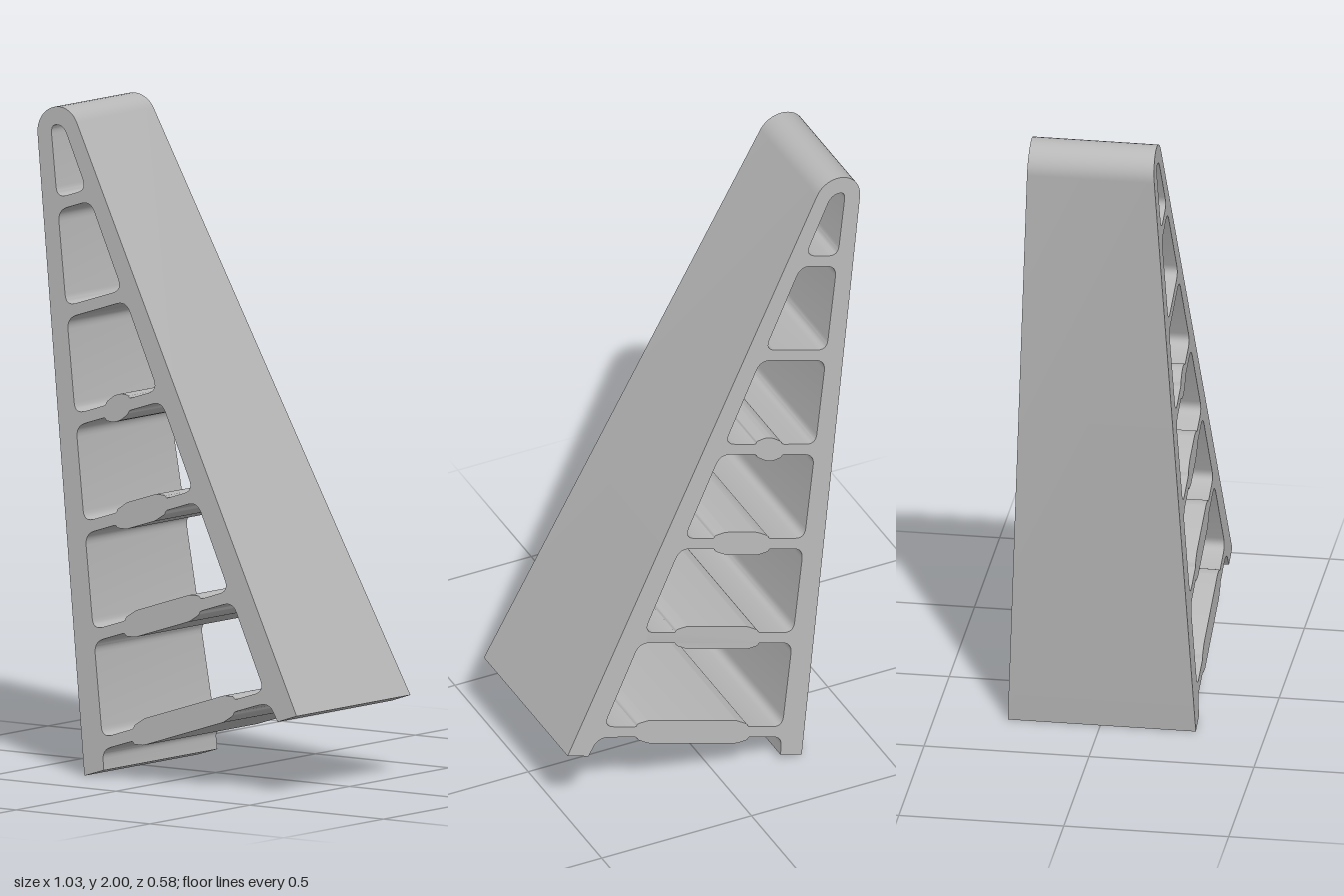
import * as THREE from 'three';
import { toCreasedNormals } from 'three/addons/utils/BufferGeometryUtils.js';

const SLOPE = 0.318; // tilt of the cross bars
const THICK = 0.037; // vertical thickness of a bar
const BARS = 6;
// x range of the thickened pad on each of the lower bars
const PADS = [[-0.098, 0.278], [-0.14, 0.14], [-0.183, 0.002], [-0.235, -0.146]];

// height offset of the top edge line of bar k: y = c + SLOPE * x
const barLine = (k) => 0.122 + 0.3206 * k + SLOPE * (0.204 + 0.0465 * k);

// where a bar edge meets the inner face of the left or right wall
const hit = (c, a, b, top) => {
  const x = (a + b * (top - c)) / (1 + SLOPE * b);
  return [x, c + SLOPE * x];
};
const hitRearWall = (c) => hit(c, -0.463, 0.14, 1.91);
const hitSlopeWall = (c) => hit(c, -0.405, 0.4938, 1.915);

// pad outline on one bar edge, left to right; side is 1 above, -1 below
function padEdge(k, side) {
  if (!PADS[k]) return [];
  const [x0, x1] = PADS[k];
  const c = barLine(k) - (side < 0 ? THICK : 0);
  const ch = Math.min(0.04, (x1 - x0) * 0.36);
  return [[x0, 0], [x0 + 0.004, 0.01], [x0 + ch, 0.022], [x1 - ch, 0.022], [x1 - 0.004, 0.01], [x1, 0]]
    .map(([x, d]) => [x, c + SLOPE * x + side * d, 0.006]);
}

// closed path through [x, y, cornerRadius] points
function roundedPath(path, pts) {
  pts.forEach((p, i) => {
    const prev = pts[(i + pts.length - 1) % pts.length];
    const next = pts[(i + 1) % pts.length];
    const v = new THREE.Vector2(p[0], p[1]);
    const toward = (q) => {
      const d = new THREE.Vector2(q[0], q[1]).sub(v);
      return v.clone().add(d.setLength(Math.min(p[2] || 0, d.length() * 0.45)));
    };
    const a = toward(prev), b = toward(next);
    if (i === 0) path.moveTo(a.x, a.y);
    else path.lineTo(a.x, a.y);
    if (p[2]) path.quadraticCurveTo(v.x, v.y, b.x, b.y);
  });
  path.closePath();
  return path;
}

function frameShape() {
  // rounded tip
  const tip = [];
  for (let i = 0; i <= 16; i++) {
    const t = THREE.MathUtils.lerp(0.472, Math.PI + 0.123, i / 16);
    tip.push([-0.44 + 0.077 * Math.cos(t), 1.923 + 0.077 * Math.sin(t)]);
  }
  // outline with two feet and the underside of the lowest bar
  const shape = roundedPath(new THREE.Shape(), [
    [0.511, 0.245], ...tip,
    [-0.275, 0], [-0.204, 0.022], [-0.209, 0.084, 0.03],
    ...padEdge(0, -1),
    [0.405, 0.278, 0.04], [0.441, 0.222],
  ]);
  // openings between the bars
  for (let k = 0; k < BARS; k++) {
    const pts = [[...hitRearWall(barLine(k)), 0.035], ...padEdge(k, 1), [...hitSlopeWall(barLine(k)), 0.035]];
    if (k < BARS - 1) {
      const c = barLine(k + 1) - THICK;
      pts.push([...hitSlopeWall(c), 0.035], ...padEdge(k + 1, -1).reverse(), [...hitRearWall(c), 0.035]);
    } else {
      pts.push([-0.42, 1.945, 0.03], [-0.468, 1.945, 0.03]);
    }
    shape.holes.push(roundedPath(new THREE.Path(), pts));
  }
  return shape;
}

export function createModel() {
  const grey = new THREE.MeshStandardMaterial({ color: 0xb8b8b8 });
  grey.name = 'light grey';

  const geo = new THREE.ExtrudeGeometry(frameShape(), { depth: 2, bevelEnabled: false, curveSegments: 6 });
  geo.translate(0, 0, -1);

  // narrow the depth toward the tip, with a very slight twist off the axis
  const pos = geo.attributes.position;
  for (let i = 0; i < pos.count; i++) {
    const x = pos.getX(i), y = pos.getY(i);
    const along = -0.303 * x + 0.953 * y;
    const half = 0.285 - (along - 0.083) * 0.0485;
    pos.setZ(i, pos.getZ(i) * half - 0.0127 * x + 0.001);
  }

  const frame = new THREE.Mesh(toCreasedNormals(geo, 0.5), grey);
  frame.name = 'ribbedWedgeFrame';
  const group = new THREE.Group();
  group.name = 'ribbedWedge';
  group.add(frame);
  return group;
}
